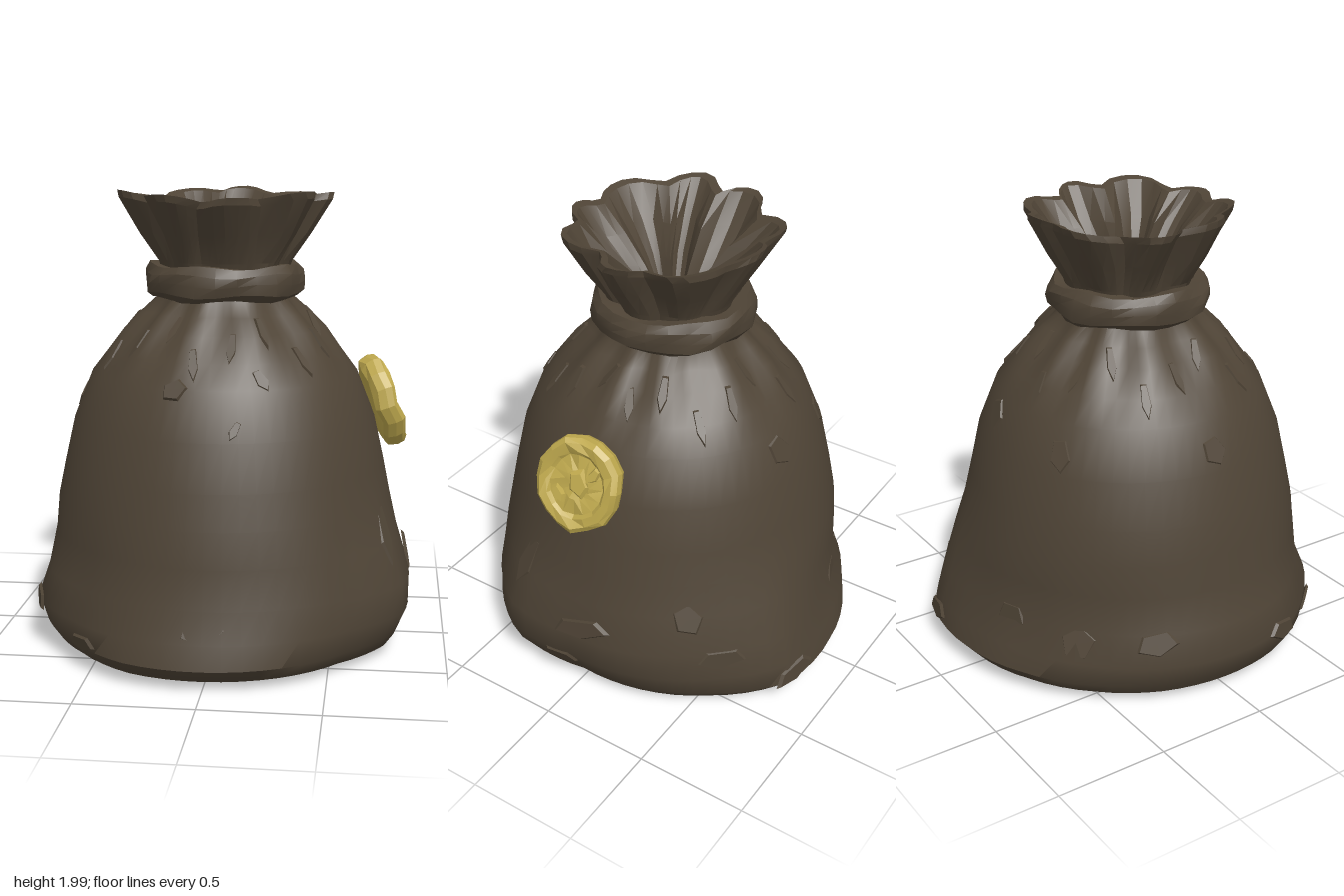
import * as THREE from 'three';
import { toCreasedNormals } from 'three/addons/utils/BufferGeometryUtils.js';

const TAU = Math.PI * 2;
const bump = (y, mid, width) => Math.exp(-(((y - mid) / width) ** 2));

// Loft closed rings: at(angle, row) returns [x, y, z]; rows run so that faces look outward
function loft(rows, segments, at, crease) {
  const pos = [], idx = [];
  for (let j = 0; j < rows; j++)
    for (let i = 0; i < segments; i++) pos.push(...at((i / segments) * TAU, j, i));
  for (let j = 0; j < rows - 1; j++)
    for (let i = 0; i < segments; i++) {
      const k = (i + 1) % segments;
      const a = j * segments + i, b = j * segments + k;
      idx.push(a, a + segments, b, b, a + segments, b + segments);
    }
  const g = new THREE.BufferGeometry();
  g.setAttribute('position', new THREE.Float32BufferAttribute(pos, 3));
  g.setIndex(idx);
  return toCreasedNormals(g, crease);
}

// Sack profile [radius, height] and the uneven outline of its base
const PROFILE = [[0, 0], [0.66, 0.02], [0.76, 0.04], [0.805, 0.1], [0.825, 0.2], [0.805, 0.33], [0.765, 0.5],
  [0.745, 0.65], [0.715, 0.8], [0.67, 1.0], [0.59, 1.2], [0.515, 1.3], [0.43, 1.4], [0.36, 1.47], [0.29, 1.54], [0.28, 1.62]];
const BASE = [0.82, 0.88, 0.83, 0.84, 0.85, 0.86, 0.84, 0.86, 0.85, 0.84, 0.82, 0.82, 0.85, 0.91, 0.86, 0.84];

function profileRadius(y) {
  for (let i = 1; i < PROFILE.length; i++) {
    const [r0, y0] = PROFILE[i - 1], [r1, y1] = PROFILE[i];
    if (y <= y1) return r0 + ((r1 - r0) * (y - y0)) / (y1 - y0);
  }
  return 0.28;
}

function sackPoint(a, y) {
  const u = (((a / TAU) % 1) + 1) % 1 * 16, k = Math.floor(u), f = u - k;
  const outline = (BASE[k % 16] * (1 - f) + BASE[(k + 1) % 16] * f) / 0.83 - 1;
  const low = 1 - THREE.MathUtils.smoothstep(y, 0.25, 0.75);
  let r = profileRadius(y) * (1 + outline * low);
  if (y > 0.01) {
    // The sides bulge above the floor, the front and back spread out on it
    r += 0.035 * Math.cos(a) * bump(y, 0.38, 0.14) - 0.03 * Math.cos(a) ** 2 * bump(y, 0.08, 0.07);
    r += Math.sin(a) ** 2 * (0.04 * bump(y, 0.08, 0.09) - 0.035 * bump(y, 0.3, 0.1));
  }
  // Gathers under the tie
  r += 0.022 * bump(y, 1.43, 0.11) * Math.cos(11 * a + Math.sin(3 * a));
  return new THREE.Vector3(Math.cos(a) * r, y, Math.sin(a) * r);
}

export function createModel() {
  const cloth = new THREE.MeshStandardMaterial({ color: 0x4f4436 });
  cloth.name = 'brown cloth';
  const gold = new THREE.MeshStandardMaterial({ color: 0xbfa94e });
  gold.name = 'gold';
  const model = new THREE.Group();
  model.name = 'coinSack';
  const add = (name, geometry, material, parent = model) => {
    const m = new THREE.Mesh(geometry, material);
    m.name = name;
    parent.add(m);
    return m;
  };

  // Sack body
  add('sackBody', loft(PROFILE.length, 64, (a, j) => sackPoint(a, PROFILE[j][1]).toArray(), 0.75), cloth);

  // Rolled tie around the neck
  const tie = [[0.27, 1.54], [0.315, 1.53], [0.345, 1.555], [0.353, 1.6], [0.348, 1.64], [0.325, 1.675], [0.26, 1.67]];
  add('neckTie', loft(tie.length, 24, (a, j) => {
    const r = tie[j][0] + 0.008 * Math.sin(7 * a + j);
    return [Math.cos(a) * r, tie[j][1] + 0.008 * Math.sin(5 * a + j), Math.sin(a) * r];
  }, 0.45), cloth);

  // Pleated mouth: outside wall, rim, inside wall and floor [radius, height, pleat depth]
  const mouth = [[0.26, 1.6, 0.01], [0.285, 1.69, 0.015], [0.35, 1.81, 0.035], [0.43, 1.945, 0.045],
    [0.435, 1.975, 0.045], [0.405, 1.965, 0.045], [0.3, 1.84, 0.06], [0.2, 1.72, 0.06], [0.12, 1.62, 0.05], [0, 1.62, 0]];
  add('pleatedMouth', loft(mouth.length, 54, (a, j, i) => {
    const [r0, y0, depth] = mouth[j];
    const fold = [0.9, 0.5, -0.5, -1, 0.1, 0.7][i % 6];
    const r = r0 + depth * fold * (0.8 + 0.3 * Math.sin(2 * a + 1));
    const twist = j > 0 && j < 9 ? 0.07 * Math.sin(4 * a + j * 0.8) : 0;
    const y = y0 + (j > 2 && j < 6 ? 0.012 * Math.sin(3 * a) + 0.01 * fold : 0);
    return [Math.cos(a + twist) * r, y, Math.sin(a + twist) * r];
  }, 0.3), cloth);

  // Small creases pressed into the cloth [angle in degrees, height, width, length, roll]
  const creases = [[90, 0.26, 0.11, 0.075, 0.2], [104, 1.2, 0.06, 0.05, 0.5], [80, 1.05, 0.02, 0.05, -0.5],
    [68, 1.24, 0.03, 0.06, 0.4], [5, 0.16, 0.1, 0.05, 0.1], [22, 0.55, 0.05, 0.16, -0.2],
    [-4, 0.38, 0.16, 0.05, 0.3], [-38, 0.5, 0.07, 0.08, 0.5], [-48, 0.3, 0.12, 0.05, 0], [-70, 0.14, 0.12, 0.05, 0.2],
    [-80, 1.13, 0.06, 0.08, 0.4], [-120, 1.08, 0.05, 0.08, 0.2], [-105, 0.32, 0.08, 0.07, 0], [-130, 0.28, 0.09, 0.08, 0.6],
    [180, 1.08, 0.06, 0.07, 0.3], [205, 0.3, 0.1, 0.06, 0.2], [160, 0.2, 0.1, 0.05, -0.2], [130, 0.12, 0.1, 0.04, 0.1]];
  // Narrow gathers hanging from the tie
  for (let i = 0; i < 20; i++) creases.push([i * 18 + 8, 1.42 - 0.06 * (i % 3), 0.022, 0.09, 0.12 * ((i % 3) - 1)]);
  const folds = new THREE.Group();
  folds.name = 'clothCreases';
  model.add(folds);
  const patch = new THREE.CylinderGeometry(0.85, 1, 0.012, 5).rotateX(Math.PI / 2).toNonIndexed();
  patch.computeVertexNormals();
  for (const [deg, y, w, h, roll] of creases) {
    const a = THREE.MathUtils.degToRad(deg), p = sackPoint(a, y);
    const up = sackPoint(a, y + 0.04).sub(sackPoint(a, y - 0.04));
    const side = sackPoint(a + 0.06, y).sub(sackPoint(a - 0.06, y));
    const m = add('crease', patch, cloth, folds);
    m.position.copy(p);
    m.lookAt(p.clone().add(up.cross(side).normalize()));
    m.rotateZ(roll);
    m.scale.set(w, h, 1);
  }

  // Coin leaning on the sack's left side
  const coin = new THREE.Group();
  coin.name = 'coin';
  coin.position.set(0.7, 1.075, 0);
  coin.lookAt(coin.position.clone().add(new THREE.Vector3(0.93, 0.33, -0.18)));
  model.add(coin);
  const edge = [[0, -0.045], [0.165, -0.05], [0.192, -0.035], [0.2, 0], [0.195, 0.03], [0.175, 0.048], [0.14, 0.044], [0.125, 0.03], [0.06, 0.036], [0, 0.03]];
  const disc = new THREE.LatheGeometry(edge.map(([r, y]) => new THREE.Vector2(r, y)), 16).rotateX(Math.PI / 2);
  disc.scale(0.95, 1.06, 1);
  // Hammered surface
  const p = disc.attributes.position;
  for (let i = 0; i < p.count; i++) {
    const x = p.getX(i), y = p.getY(i), s = 1 + 0.025 * Math.sin(31 * x + 23 * y);
    p.setXYZ(i, x * s, y * s, p.getZ(i) + 0.009 * Math.sin(47 * x - 39 * y));
  }
  add('coinDisc', toCreasedNormals(disc, 0.2), gold, coin);
  // Worn bumps on the coin face
  const dent = new THREE.CylinderGeometry(0.6, 1, 0.03, 5).rotateX(Math.PI / 2).toNonIndexed();
  dent.computeVertexNormals();
  for (const [x, y, w, h, roll] of [[0.01, 0.01, 0.06, 0.085, 0.3], [-0.075, -0.05, 0.03, 0.06, 0.6], [0.075, 0.06, 0.03, 0.055, -0.5]]) {
    const m = add('coinBump', dent, gold, coin);
    m.position.set(x, y, 0.034);
    m.rotation.z = roll;
    m.scale.set(w, h, 1);
  }
  return model;
}
